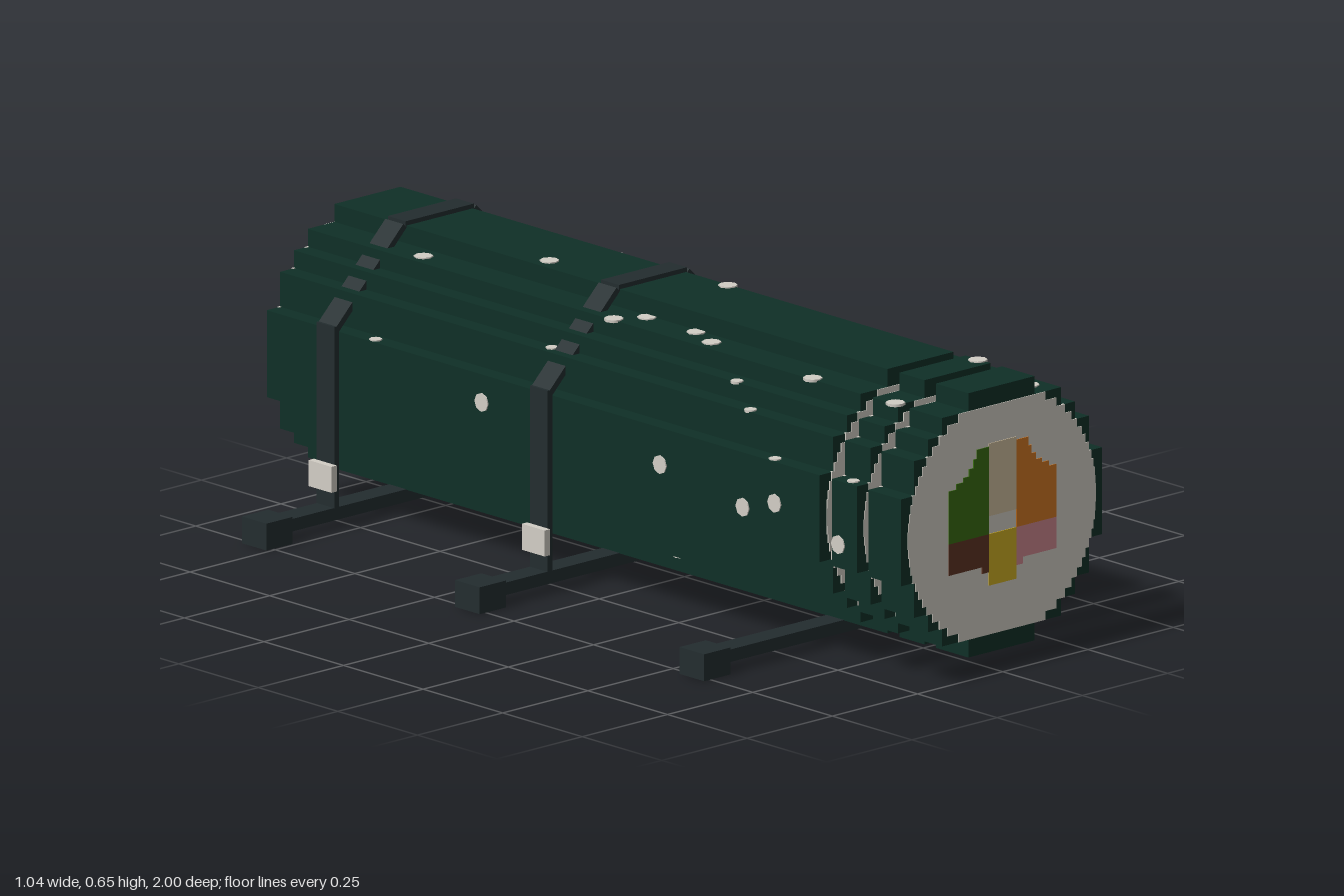
import * as THREE from 'three';

const CY = 0.345; // height of the roll's axis
// stepped quarter profile: half width of each step and its height above the axis
const STEPS = [[0.097, 0.295], [0.175, 0.255], [0.215, 0.215], [0.256, 0.175], [0.295, 0.097]];
const mat = (name, color) => {
  const m = new THREE.MeshStandardMaterial({ color });
  m.name = name;
  return m;
};

// closed shape from points given relative to the roll's axis
const shapeOf = (pts) => new THREE.Shape(pts.map(([x, y]) => new THREE.Vector2(x, y)));

// symmetric stepped outline from [halfWidth, height] pairs, top to middle
function steppedShape(steps) {
  const quarter = [];
  steps.forEach(([w, h], i) => {
    if (i > 0) quarter.push([steps[i - 1][0], h]);
    quarter.push([w, h]);
  });
  const q = quarter.slice().reverse(); // middle to top
  const right = [...q.map(([x, y]) => [x, -y]).reverse(), ...q];
  const left = right.map(([x, y]) => [-x, y]).reverse();
  return shapeOf([...right, ...left]);
}

export function createModel() {
  const model = new THREE.Group();
  model.name = 'sushiRollOnStand';
  const seaweed = mat('seaweed', 0x0f3027);
  const rice = mat('rice', 0xd3cec6);
  const frame = mat('frame', 0x232d2f);
  const green = mat('cucumber', 0x386c0f);
  const orange = mat('carrot', 0xd07722);
  const beige = mat('beige filling', 0xcfbe9d);
  const brown = mat('brown filling', 0x5e3423);
  const yellow = mat('egg', 0xcfae22);
  const pink = mat('pink filling', 0xcf888e);

  function add(parent, name, geo, material, x = 0, y = 0, z = 0) {
    const mesh = new THREE.Mesh(geo, material);
    mesh.name = name;
    mesh.position.set(x, y, z);
    parent.add(mesh);
    return mesh;
  }
  const box = (w, h, d) => new THREE.BoxGeometry(w, h, d);
  const plate = (shape, depth) =>
    new THREE.ExtrudeGeometry(shape, { depth, bevelEnabled: false }).translate(0, 0, -depth / 2);

  // rice disc outline, a circle in small steps
  const discSteps = [];
  for (let i = 13; i >= 1; i--) {
    const h = i * 0.0196;
    discSteps.push([Math.sqrt(0.276 ** 2 - (h - 0.01) ** 2), h]);
  }
  const discGeo = plate(steppedShape(discSteps), 0.006);

  // fillings, relative to the axis
  const upper = [[0.04, -0.03], [0.157, -0.03], [0.157, 0.088], [0.135, 0.088], [0.135, 0.1], [0.115, 0.1],
    [0.115, 0.11], [0.098, 0.11], [0.098, 0.126], [0.085, 0.126], [0.085, 0.145], [0.075, 0.145],
    [0.075, 0.165], [0.04, 0.165]];
  const lower = [[0.04, -0.03], [0.04, -0.115], [0.06, -0.115], [0.06, -0.1], [0.157, -0.1], [0.157, -0.03]];
  const mirror = (pts) => pts.map(([x, y]) => [-x, y]).reverse();
  const rect = (w, a, b) => [[-w, a], [w, a], [w, b], [-w, b]];
  const fillings = [
    ['cucumber', mirror(upper), green], ['carrot', upper, orange],
    ['brownFilling', mirror(lower), brown], ['pinkFilling', lower, pink],
    ['beigeFilling', rect(0.04, 0.01, 0.172), beige], ['eggFilling', rect(0.04, -0.145, -0.03), yellow],
  ].map(([name, pts, m]) => [name, plate(shapeOf(pts), 0.006), m]);

  // the long roll and two cut slices, with rice and fillings on every cut
  const outline = steppedShape(STEPS);
  const pieces = [['longRoll', -1, 0.745], ['middleSlice', 0.775, 0.862], ['frontSlice', 0.89, 1]];
  for (const [name, z0, z1] of pieces) {
    const piece = new THREE.Group();
    piece.name = name;
    piece.position.y = CY;
    model.add(piece);
    add(piece, 'seaweedWrap', plate(outline, z1 - z0 - 0.008), seaweed, 0, 0, (z0 + z1) / 2);
    for (const [z, s] of [[z0, -1], [z1, 1]]) {
      add(piece, 'riceFace', discGeo, rice, 0, 0, z - s * 0.005);
      for (const [n, g, m] of fillings) add(piece, n, g, m, 0, 0, z - s * 0.003);
    }
  }

  // grains lying on the stepped wrap
  const grains = new THREE.Group();
  grains.name = 'riceGrains';
  model.add(grains);
  const bigGrain = new THREE.CylinderGeometry(0.021, 0.021, 0.006, 8);
  const smallGrain = new THREE.CylinderGeometry(0.014, 0.014, 0.006, 8);
  const pick = (a, k) => STEPS[Math.max(0, STEPS.findIndex((s) => a <= s[k]))];

  // up (s = 1) or down (s = -1) facing steps
  function flatGrain(x, z, s) {
    const a = Math.min(Math.abs(x), 0.28);
    const [, h] = pick(a, 0);
    add(grains, 'grain', a < 0.175 ? bigGrain : smallGrain, rice, Math.sign(x) * a, CY + s * h, z);
  }
  // left (s = 1) or right (s = -1) facing steps
  function sideGrain(z, y, s) {
    const dy = y - CY;
    const i = STEPS.findLastIndex((st) => Math.abs(dy) <= st[1]);
    const g = add(grains, 'grain', i === 4 ? bigGrain : smallGrain, rice, s * STEPS[i][0], y, z);
    g.rotation.z = Math.PI / 2;
  }
  const topGrains = [[-0.06, -0.36], [0.09, 0.04], [-0.11, 0], [-0.11, 0.155], [-0.14, -0.67], [0.135, -0.635],
    [-0.14, 0.235], [0.135, 0.58], [0.135, 0.94], [0.22, -0.435], [0.165, -0.395], [0.24, -0.31], [-0.17, -0.04],
    [0.205, 0.08], [0.26, 0.11], [-0.21, 0.39], [-0.245, 0.47], [-0.17, 0.585], [-0.29, 0.585], [0.29, 0.585],
    [-0.29, -0.67], [0.185, -0.83], [0.19, -0.9], [-0.275, 0.825], [-0.17, 0.845], [0.09, 0.825], [-0.23, -0.17]];
  topGrains.forEach(([x, z]) => flatGrain(x, z, 1));
  [[0.13, 0.45], [-0.14, 0.68], [0.05, -0.5], [-0.2, 0.2]].forEach(([x, z]) => flatGrain(x, z, -1));
  const leftGrains = [[0.59, 0.42], [0.515, 0.335], [0.355, 0.41], [-0.625, 0.375], [0.435, 0.18], [0.475, 0.105],
    [-0.39, 0.18], [-0.43, 0.15], [-0.7, 0.07], [-0.94, 0.15], [-0.315, 0.515], [-0.08, 0.575]];
  leftGrains.forEach(([z, y]) => sideGrain(z, y, 1));
  [[-0.32, 0.38], [0.24, 0.36], [0.5, 0.32], [0.6, 0.35], [0.8, 0.3]].forEach(([z, y]) => sideGrain(z, y, -1));

  // stand: three cross beams with end feet, the rear two with tie straps
  const strapW = 0.056;
  [[-0.797, true], [-0.127, true], [0.578, false]].forEach(([z, strapped]) => {
    const stand = new THREE.Group();
    stand.name = strapped ? 'strappedSupport' : 'frontSupport';
    stand.position.z = z;
    model.add(stand);
    add(stand, 'crossBeam', box(0.9, 0.028, 0.054), frame, 0, 0.037, 0);
    for (const s of [-1, 1]) add(stand, 'foot', box(0.077, 0.06, 0.077), frame, s * 0.4795, 0.03, 0);
    if (!strapped) return;
    add(stand, 'topStrap', box(0.2, 0.014, strapW), frame, 0, 0.643, 0);
    for (const s of [-1, 1]) {
      add(stand, 'sideStrap', box(0.014, 0.405, strapW), frame, s * 0.302, 0.2525, 0);
      const diagonal = add(stand, 'diagonalStrap', box(0.276, 0.014, strapW), frame, s * 0.201, 0.544, 0);
      diagonal.rotation.z = -s * Math.atan2(0.19, 0.195);
    }
    add(stand, 'buckle', box(0.016, 0.058, 0.072), rice, -0.317, 0.119, 0);
  });
  return model;
}
